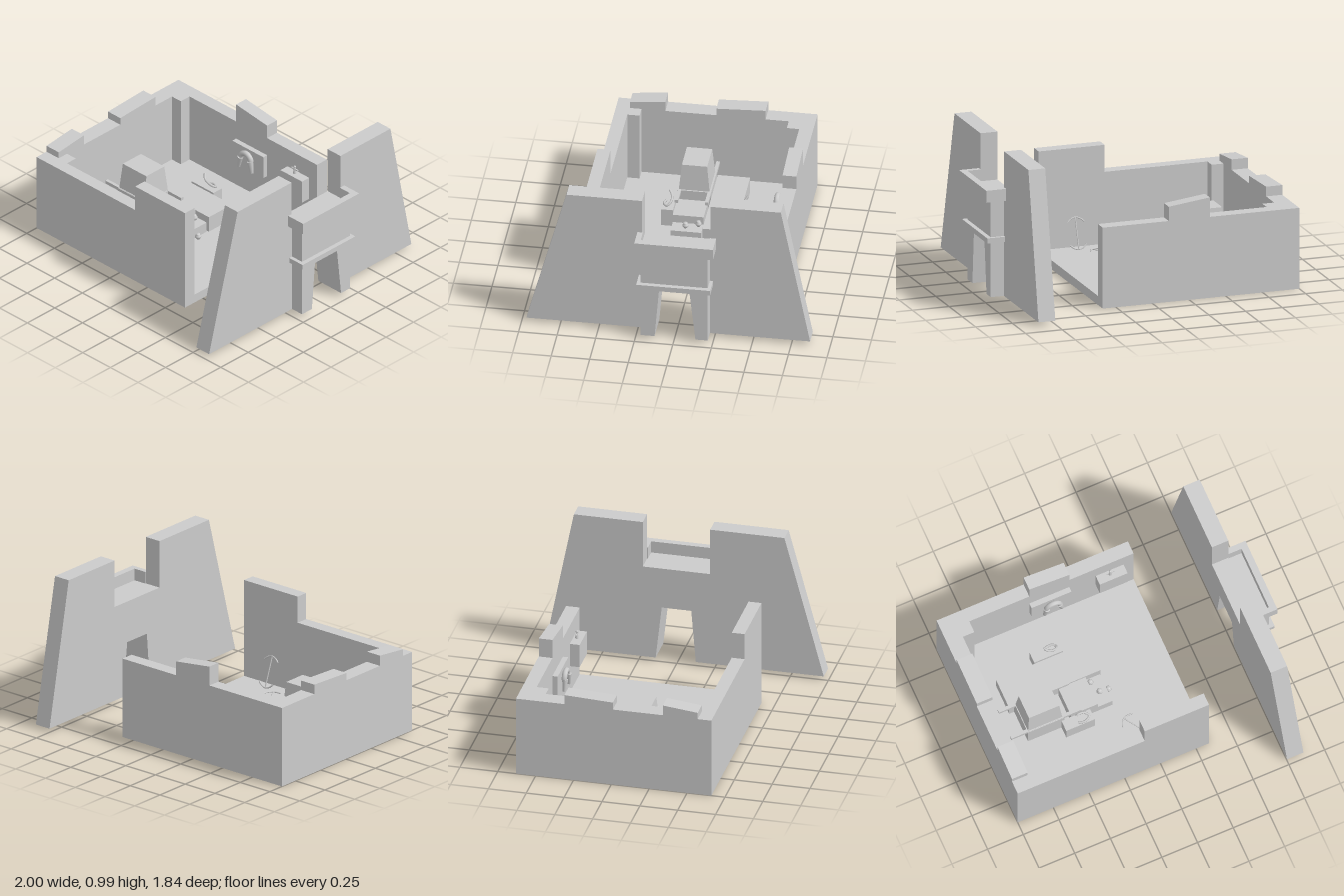
import * as THREE from 'three';

const grey = new THREE.MeshStandardMaterial({ color: 0xcccccc, flatShading: true });
const smooth = new THREE.MeshStandardMaterial({ color: 0xcccccc });

export function createModel() {
  const model = new THREE.Group();

  const add = (name, geo, mat = grey, parent = model) => {
    const m = new THREE.Mesh(geo, mat);
    m.name = name;
    parent.add(m);
    return m;
  };
  // box given by its limits on each axis
  const box = (name, x0, x1, y0, y1, z0, z1) => {
    const m = add(name, new THREE.BoxGeometry(x1 - x0, y1 - y0, z1 - z0));
    m.position.set((x0 + x1) / 2, (y0 + y1) / 2, (z0 + z1) / 2);
    return m;
  };
  const shapeOf = pts => new THREE.Shape(pts.map(p => new THREE.Vector2(...p)));
  // profile in (z, y), pushed through x0..x1
  const alongX = (name, pts, x0, x1) => {
    const g = new THREE.ExtrudeGeometry(shapeOf(pts), { depth: x1 - x0, bevelEnabled: false });
    g.rotateY(-Math.PI / 2).translate(x1, 0, 0);
    return add(name, g);
  };
  // profile in (x, y), pushed through z0..z1
  const alongZ = (name, pts, z0, z1) => {
    const g = new THREE.ExtrudeGeometry(shapeOf(pts), { depth: z1 - z0, bevelEnabled: false });
    g.translate(0, 0, z0);
    return add(name, g);
  };

  // chamber: floor, three broken walls and inner corner pillars
  const F = 0.06;
  box('floor', -1, 0.34, 0, F, -0.63, 0.66);
  alongZ('frontWall', [[-1, 0], [0.34, 0], [0.34, 0.72], [-0.11, 0.72], [-0.11, 0.54], [-1, 0.54]], 0.575, 0.66);
  alongZ('backWall', [[-1, 0], [0.34, 0], [0.34, 0.54], [-0.11, 0.54], [-0.11, 0.635],
    [-0.39, 0.67], [-0.39, 0.54], [-1, 0.54]], -0.63, -0.54);
  alongX('sideWall', [[-0.63, 0], [0.66, 0], [0.66, 0.54], [0.57, 0.54], [0.57, 0.585], [0.34, 0.61],
    [0.34, 0.54], [0.01, 0.54], [0.01, 0.59], [-0.31, 0.605], [-0.31, 0.54], [-0.63, 0.54]], -1, -0.89);
  box('cornerPillarBack', -0.89, -0.81, F, 0.54, -0.54, -0.46);
  box('cornerPillarFront', -0.89, -0.81, F, 0.54, 0.495, 0.575);

  // gate towers joined above a tapered doorway
  const door = [[0.125, 0.025], [0.095, 0.39], [-0.1, 0.39], [-0.14, 0.025]];
  alongX('gateTowers', [[0.97, 0.025], [0.71, 0.99], [0.22, 0.99], [0.22, 0.67], [-0.225, 0.67], [-0.225, 0.99],
    [-0.68, 0.99], [-0.87, 0.025], ...door.slice().reverse()], 0.75, 0.865);
  alongX('portal', [[0.215, 0.025], [0.215, 0.67], [-0.22, 0.67], [-0.22, 0.025], ...door.slice().reverse()], 0.865, 0.955);
  // hollow cornice and moulding around the portal
  box('corniceFront', 0.955, 1, 0.67, 0.75, -0.26, 0.25);
  box('corniceSideLeft', 0.865, 0.955, 0.67, 0.75, 0.215, 0.25);
  box('corniceSideRight', 0.865, 0.955, 0.67, 0.75, -0.26, -0.22);
  box('portalBand', 0.865, 0.985, 0.39, 0.425, -0.24, 0.24);

  // low bench with a lip
  box('bench', -0.76, -0.18, F, 0.155, -0.23, -0.02);
  box('benchEnd', -0.18, -0.12, F, 0.155, -0.23, -0.02);
  box('benchSlab', -0.76, -0.12, 0.155, 0.17, -0.23, -0.02);

  // stepped offering stand with pots
  box('standStep', -0.23, -0.13, F, 0.13, -0.01, 0.19);
  box('standBlock', -0.42, -0.23, F, 0.185, -0.01, 0.19);
  const potProfile = [[0, 0], [0.012, 0], [0.02, 0.012], [0.019, 0.022], [0.01, 0.03], [0.013, 0.036], [0, 0.036]]
    .map(p => new THREE.Vector2(...p));
  for (const [x, y, z] of [[-0.21, 0.13, 0.02], [-0.18, 0.13, 0.1], [-0.112, F, 0.085]]) {
    add('pot', new THREE.LatheGeometry(potProfile, 14), smooth).position.set(x, y, z);
  }

  // carried shrine: tapered chest on two poles
  box('shrineBase', -0.725, -0.47, F, 0.22, -0.02, 0.2);
  const chest = new THREE.BoxGeometry(0.24, 0.18, 0.2);
  const cp = chest.attributes.position;
  for (let i = 0; i < cp.count; i++) {
    if (cp.getY(i) > 0) cp.setXYZ(i, cp.getX(i) * 0.88, cp.getY(i), cp.getZ(i) * 0.82);
  }
  add('shrineChest', chest).position.set(-0.6, 0.31, 0.09);
  for (const z of [-0.01, 0.185]) {
    box('carryingPole', -0.84, -0.35, 0.2, 0.222, z - 0.011, z + 0.011);
  }

  // curled figures on pedestals at both sides
  for (const s of [-1, 1]) {
    const z = s < 0 ? -0.272 : 0.237;
    box('pedestal', -0.49, -0.29, F, 0.18, z - 0.038, z + 0.038);
    const path = [[-0.4, 0.185, 0.02], [-0.35, 0.19, 0.028], [-0.315, 0.195, 0.005],
      [-0.34, 0.215, -0.02], [-0.385, 0.235, -0.018], [-0.405, 0.26, 0]];
    const curve = new THREE.CatmullRomCurve3(path.map(([x, y, dz]) => new THREE.Vector3(x, y, z + s * dz)));
    add('curledFigure', new THREE.TubeGeometry(curve, 24, 0.008, 6), smooth);
  }

  // wall panel with an arched relief
  box('wallPanel', -0.39, -0.11, 0.25, 0.41, -0.54, -0.505);
  const arch = add('reliefArch', new THREE.TorusGeometry(0.045, 0.018, 8, 16, Math.PI), smooth);
  arch.position.set(-0.248, 0.34, -0.485);
  for (const s of [-1, 1]) {
    const leg = add('reliefLeg', new THREE.CylinderGeometry(0.02, 0.012, 0.08, 10), smooth);
    leg.position.set(-0.248 + s * 0.052, 0.305, -0.48);
    leg.rotation.z = s * 0.2;
  }

  // small shelf with a figurine
  box('wallShelf', 0.075, 0.27, 0.25, 0.41, -0.54, -0.475);
  const figurine = new THREE.Group();
  figurine.name = 'figurine';
  figurine.position.set(0.165, 0.41, -0.515);
  add('figurineBody', new THREE.CylinderGeometry(0.006, 0.012, 0.04, 8), smooth, figurine).position.y = 0.02;
  add('figurineHead', new THREE.SphereGeometry(0.009, 8, 6), smooth, figurine).position.y = 0.047;
  add('figurineArms', new THREE.BoxGeometry(0.06, 0.008, 0.008), grey, figurine).position.y = 0.03;
  model.add(figurine);

  // staffs with a curved bar at each end: one leaning, one lying down
  const staff = (from, to) => {
    const a = new THREE.Vector3(...from), b = new THREE.Vector3(...to);
    const len = a.distanceTo(b);
    const g = new THREE.Group();
    g.name = 'staff';
    add('staffShaft', new THREE.CylinderGeometry(0.004, 0.004, len, 8), smooth, g);
    for (const s of [-1, 1]) {
      const bar = new THREE.QuadraticBezierCurve3(new THREE.Vector3(-0.056, s * (len / 2 - 0.03), 0),
        new THREE.Vector3(0, s * (len / 2 + 0.03), 0), new THREE.Vector3(0.056, s * (len / 2 - 0.03), 0));
      add('staffBar', new THREE.TubeGeometry(bar, 16, 0.005, 6), smooth, g);
    }
    g.position.copy(a).lerp(b, 0.5);
    g.quaternion.setFromUnitVectors(new THREE.Vector3(0, 1, 0), b.sub(a).normalize());
    model.add(g);
    return g;
  };
  staff([0.095, 0.065, 0.495], [0.095, 0.26, 0.565]);
  // lying staff keeps its bars flat on the floor
  const lying = staff([0, 0, 0], [0, 0.2, 0]);
  lying.quaternion.setFromEuler(new THREE.Euler(-Math.PI / 2, 0, 0.58));
  lying.rotation.set(-Math.PI / 2, 0, 0.58);
  lying.position.set(-0.045, 0.064, 0.39);

  return model;
}
